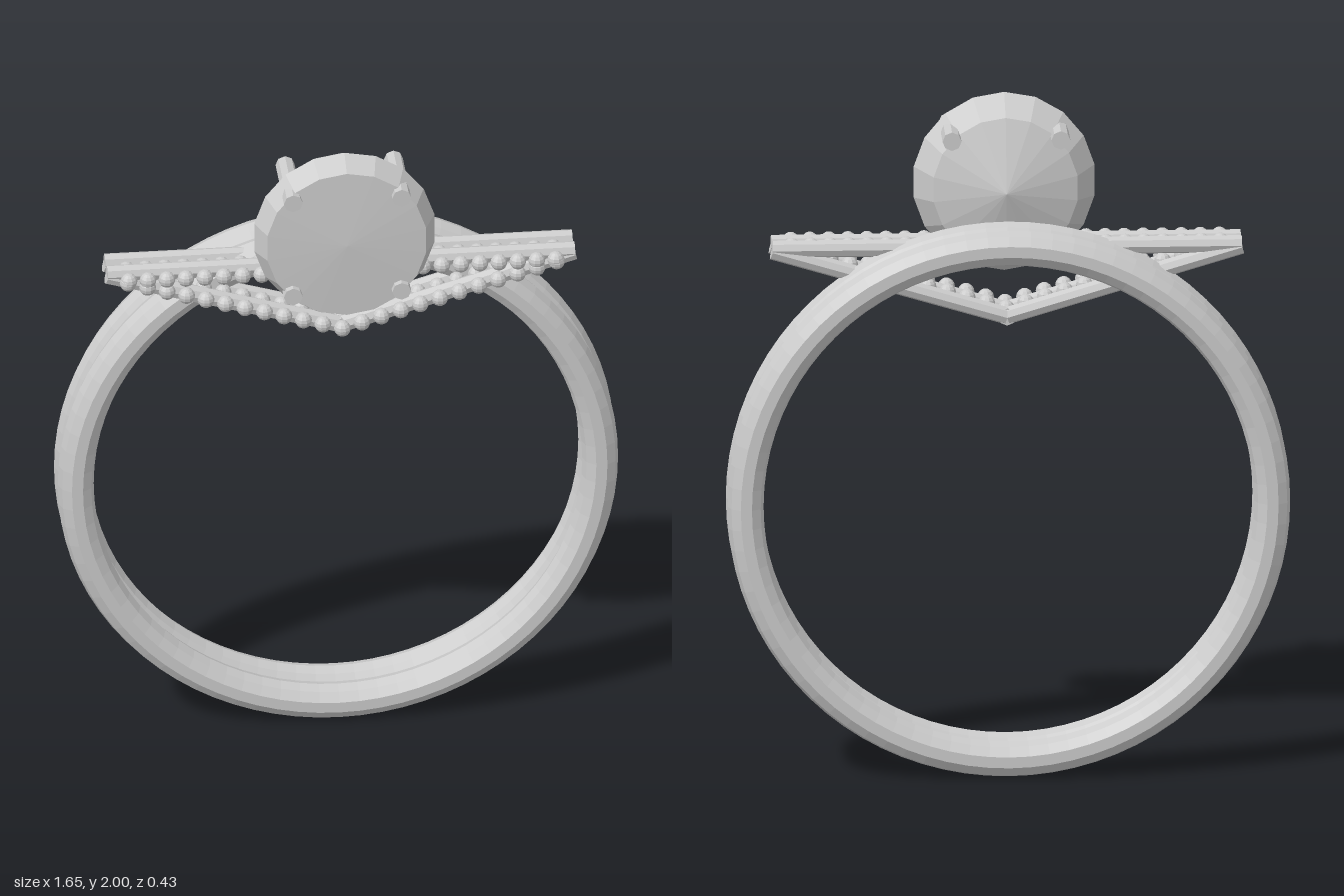
import * as THREE from 'three';

const metal = new THREE.MeshStandardMaterial({ color: 0xcccccc, flatShading: true, side: THREE.DoubleSide });

export function createModel() {
  const root = new THREE.Group();
  const add = (name, geometry, parent = root) => {
    const mesh = new THREE.Mesh(geometry, metal);
    mesh.name = name;
    parent.add(mesh);
    return mesh;
  };

  // Straight faceted rod between two points
  const rod = (name, a, b, radius, parent) => {
    const dir = b.clone().sub(a);
    const mesh = add(name, new THREE.CylinderGeometry(radius, radius, dir.length(), 8), parent);
    mesh.position.copy(a).lerp(b, 0.5);
    mesh.quaternion.setFromUnitVectors(new THREE.Vector3(0, 1, 0), dir.normalize());
    return mesh;
  };

  // Twin finger bands
  for (const z of [-0.055, -0.163]) {
    const band = add('band', new THREE.TorusGeometry(0.774, 0.053, 10, 80));
    band.position.set(0, 0.828, z);
  }

  // Round stone: pointed back, girdle, bevelled crown and shallow domed table
  const profile = [[0, -0.035], [0.215, 0.03], [0.27, 0.125], [0.238, 0.195], [0, 0.207]]
    .map(([r, z]) => new THREE.Vector2(r, z));
  const stoneGeometry = new THREE.LatheGeometry(profile, 18);
  stoneGeometry.rotateX(Math.PI / 2);
  add('stone', stoneGeometry).position.set(0, 1.732, 0);

  // Four prongs gripping the stone
  for (const x of [-0.16, 0.16]) {
    for (const y of [1.575, 1.89]) {
      rod('prong', new THREE.Vector3(x, y, -0.02), new THREE.Vector3(x, y, 0.215), 0.028, root);
    }
  }

  // Two layers of triangular shoulder frames, each with a row of beads in front
  const beadGeometry = new THREE.SphereGeometry(0.025, 10, 8);
  for (const z of [-0.046, 0.024]) {
    const frame = new THREE.Group();
    frame.name = 'shoulderFrame';
    root.add(frame);
    const tip = new THREE.Vector3(0, 1.367, z);
    rod('topBar', new THREE.Vector3(-0.69, 1.577, z), new THREE.Vector3(0.69, 1.577, z), 0.026, frame);
    for (const side of [-1, 1]) {
      const end = new THREE.Vector3(side * 0.69, 1.572, z);
      rod('slopingBar', tip, end, 0.026, frame);

      const bead = (x, y) => add('bead', beadGeometry, frame).position.set(side * x, y, z + 0.046);
      for (let i = 0; i < 8; i++) bead(0.63 - i * 0.056, 1.574);
      for (let i = side > 0 ? 0 : 1; i < 12; i++) {
        const x = i * 0.0575;
        bead(x, 1.378 + x * 0.3);
      }
    }
    // Joint where the sloping bars meet
    const joint = add('joint', new THREE.CylinderGeometry(0.026, 0.026, 0.03, 8), frame);
    joint.rotation.x = Math.PI / 2;
    joint.position.copy(tip);
  }

  return root;
}
